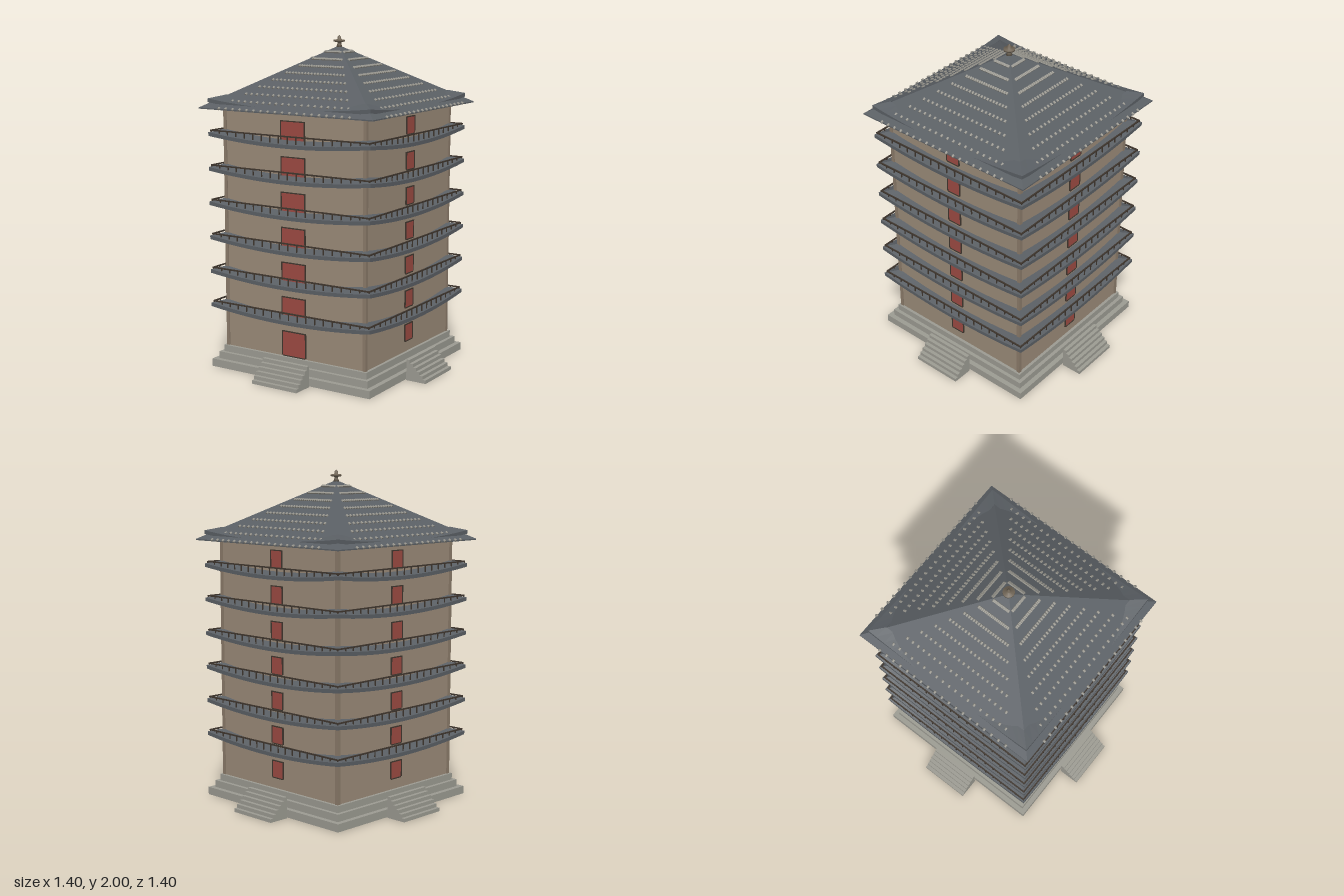
import * as THREE from 'three';
import { mergeGeometries } from 'three/addons/utils/BufferGeometryUtils.js';

const mat = (name, color) => {
  const m = new THREE.MeshStandardMaterial({ color });
  m.name = name;
  return m;
};

export function createModel() {
  const stone = mat('stone', 0x9c9b92);
  const wall = mat('tan wall', 0x9a8a78);
  const post = mat('corner post', 0x8a7a69);
  const slate = mat('slate', 0x5a5f64);
  const red = mat('red door', 0x9c4a42);
  const timber = mat('dark timber', 0x3f362e);
  const tile = mat('tile cap', 0x96948c);
  const bronze = mat('finial', 0x6e6354);

  const model = new THREE.Group();
  model.name = 'pagoda';
  const add = (name, geo, material) => {
    const mesh = new THREE.Mesh(geo, material);
    mesh.name = name;
    model.add(mesh);
  };
  // box given by its limits
  const box = (x0, x1, y0, y1, z0, z1) =>
    new THREE.BoxGeometry(x1 - x0, y1 - y0, z1 - z0)
      .translate((x0 + x1) / 2, (y0 + y1) / 2, (z0 + z1) / 2);
  // repeat geometry on the four sides
  const fourSides = (geos) => {
    const one = mergeGeometries(geos);
    return mergeGeometries([0, 1, 2, 3].map(i => one.clone().rotateY(i * Math.PI / 2)));
  };

  const FLOOR = 0.2077;

  // stepped plinth
  [[0.56, 0, 0.047], [0.53, 0.047, 0.09], [0.508, 0.09, 0.13]].forEach(([h, y0, y1], i) =>
    add('plinthTier' + (i + 1), box(-h, h, y0, y1, -h, h), stone));

  // stairs on all four sides
  const steps = [];
  for (let i = 0; i < 6; i++) {
    const z = 0.57 + i * 0.0217;
    steps.push(box(-0.158, 0.158, 0, 0.127 * (6 - i) / 6, z, z + 0.0217));
  }
  add('stairs', fourSides(steps), stone);

  // tower body and corner posts
  add('towerBody', box(-0.49, 0.49, 0.13, 1.6, -0.49, 0.49), wall);
  add('cornerPosts', fourSides([box(0.475, 0.496, 0.13, 1.6, 0.475, 0.496)]), post);

  // a framed opening on the +z wall
  const panel = (w, y0, y1) => box(-w, w, y0, y1, 0.488, 0.494);
  const frame = (w, y0, y1) => {
    const f = 0.006;
    return mergeGeometries([
      box(-w - f, -w, y0, y1 + f, 0.488, 0.497),
      box(w, w + f, y0, y1 + f, 0.488, 0.497),
      box(-w, w, y1, y1 + f, 0.488, 0.497),
      box(-w, w, y0 - f, y0, 0.488, 0.497),
    ]);
  };
  const doors = [], doorFrames = [], windows = [], windowFrames = [];
  for (let k = 0; k < 7; k++) {
    const y = k * FLOOR;
    doors.push(panel(0.079, y + 0.137, y + 0.28));
    doorFrames.push(frame(0.079, y + 0.137, y + 0.28));
    for (let s = 1; s < 4; s++) {
      const a = s * Math.PI / 2;
      windows.push(panel(0.043, y + 0.197, y + 0.294).rotateY(a));
      windowFrames.push(frame(0.043, y + 0.197, y + 0.294).rotateY(a));
    }
  }
  add('doors', mergeGeometries(doors), red);
  add('doorFrames', mergeGeometries(doorFrames), timber);
  add('windows', mergeGeometries(windows), red);
  add('windowFrames', mergeGeometries(windowFrames), timber);

  // curved eave along one side, mitred at both corners
  const lift = t => 0.035 * t * t;
  const eaveSide = (y) => {
    const N = 20, pos = [];
    const section = (t) => [[0.485, 0.042], [0.56, 0.022], [0.56, 0], [0.485, 0.02]]
      .map(([d, h]) => [t * d, y + h + lift(t), d]);
    for (let i = 0; i < N; i++) {
      const p = section(-1 + 2 * i / N), q = section(-1 + 2 * (i + 1) / N);
      for (let c = 0; c < 4; c++) {
        const e = (c + 1) % 4;
        pos.push(...p[c], ...p[e], ...q[e], ...p[c], ...q[e], ...q[c]);
      }
    }
    const g = new THREE.BufferGeometry();
    g.setAttribute('position', new THREE.Float32BufferAttribute(pos, 3));
    g.computeVertexNormals();
    return g;
  };

  // six eaves with railings, and a seventh that lifts through the roof corners
  for (let k = 0; k < 7; k++) {
    const y = 0.342 + k * FLOOR - (k === 6 ? 0.008 : 0);
    add('eave' + (k + 1), fourSides([eaveSide(y)]), slate);
    if (k === 6) break;
    const top = y + 0.072, d = 0.548;
    const rail = [box(-d - 0.004, d + 0.004, top - 0.008, top, d - 0.004, d + 0.004)];
    for (let i = -9; i <= 9; i++) {
      const x = i * d / 9;
      rail.push(box(x - 0.003, x + 0.003, y + 0.015 + lift(x / 0.56), top - 0.006, d - 0.003, d + 0.003));
    }
    add('railing' + (k + 1), fourSides(rail), timber);
  }

  // pyramid roof
  const R = 0.598, ROOF_Y = 1.585, APEX = 1.937;
  const roof = new THREE.ConeGeometry(R * Math.SQRT2, APEX - ROOF_Y, 4, 1)
    .toNonIndexed().rotateY(Math.PI / 4).translate(0, (APEX + ROOF_Y) / 2, 0);
  roof.computeVertexNormals();
  add('roof', roof, slate);
  add('roofEdge', box(-R, R, 1.578, ROOF_Y, -R, R), slate);

  // rows of tile caps lying along the slope
  const slope = Math.atan2(APEX - ROOF_Y, R);
  const caps = [];
  for (let r = 1; r <= 9; r++) {
    const d = r * 0.0664;
    for (let i = -9; i <= 9; i++) {
      caps.push(new THREE.CylinderGeometry(0.0075, 0.0075, 0.016, 7)
        .rotateX(Math.PI / 2 + slope)
        .translate(i / 9 * 0.75 * d, APEX - d * Math.tan(slope) + 0.002, d));
    }
  }
  add('tileCaps', fourSides(caps), tile);

  // finial
  const profile = [[0, 1.925], [0.018, 1.93], [0.012, 1.945], [0.012, 1.956], [0.034, 1.96],
    [0.034, 1.97], [0.012, 1.974], [0.011, 1.988], [0, 2]].map(([x, y]) => new THREE.Vector2(x, y));
  add('finial', new THREE.LatheGeometry(profile, 12), bronze);

  return model;
}
